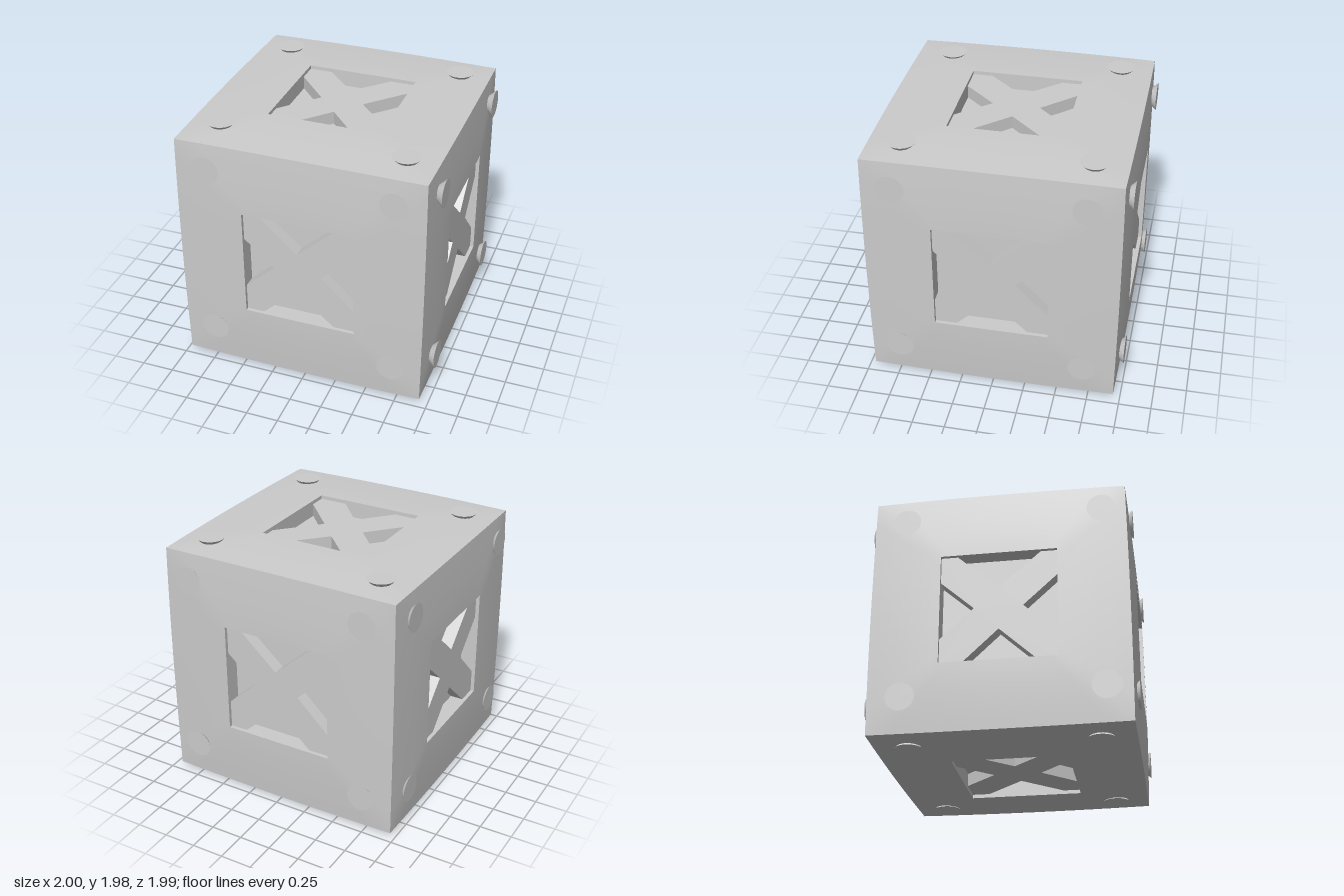
import * as THREE from 'three';

const MAT = new THREE.MeshStandardMaterial({ color: 0xcccccc });
const HOLE = 0.435, EDGE = 0.95, BULGE = 0.985, DEPTH = 0.13, INSET = 0.03;

function mesh(geo, name) {
  const m = new THREE.Mesh(geo, MAT);
  m.name = name;
  return m;
}

// Bulged square frame: square loops from the opening out to the cube edges
function frameGeometry() {
  const rings = 7, side = 12, n = side * 4, pos = [], idx = [];
  for (let j = 0; j <= rings; j++) {
    const t = j / rings;
    for (let i = 0; i < n; i++) {
      const w = (i % side) / side * 2 - 1;
      const bow = 0.007 * (1 - w * w) * t;
      const half = HOLE + (EDGE - HOLE) * t;
      const a = half + bow, b = half * w;
      const [x, y] = [[a, b], [-b, a], [-a, -b], [b, -a]][Math.floor(i / side)];
      pos.push(x, y, BULGE - (BULGE - EDGE) * Math.pow(t, 1.4) + bow);
      if (j < rings) {
        const p = j * n + i, q = j * n + (i + 1) % n;
        idx.push(p, p + n, q + n, p, q + n, q);
      }
    }
  }
  const g = new THREE.BufferGeometry();
  g.setAttribute('position', new THREE.Float32BufferAttribute(pos, 3));
  g.setIndex(idx);
  g.computeVertexNormals();
  return g;
}

function square(h, Type = THREE.Shape) {
  return new Type([[-h, -h], [h, -h], [h, h], [-h, h]].map(([x, y]) => new THREE.Vector2(x, y)));
}

// Walls of the square recess
function wallGeometry() {
  const s = square(HOLE + 0.005);
  s.holes.push(square(HOLE, THREE.Path));
  const g = new THREE.ExtrudeGeometry(s, { depth: DEPTH - 0.001, bevelEnabled: false });
  return g.translate(0, 0, BULGE - DEPTH);
}

// Cross brace; each notch is [start, end, apex along the side, apex distance]
function braceGeometry({ top, bottom, left, right }) {
  const h = HOLE, pts = [
    [-h, -h], [bottom[0], -h], [bottom[2], -bottom[3]], [bottom[1], -h],
    [h, -h], [h, right[0]], [right[3], right[2]], [h, right[1]],
    [h, h], [top[1], h], [top[2], top[3]], [top[0], h],
    [-h, h], [-h, left[1]], [-left[3], left[2]], [-h, left[0]],
  ];
  const s = new THREE.Shape(pts.map(([x, y]) => new THREE.Vector2(x, y)));
  const g = new THREE.ExtrudeGeometry(s, { depth: DEPTH - INSET, bevelEnabled: false });
  return g.translate(0, 0, BULGE - DEPTH);
}

const BRACE_FRONT = {
  top: [-0.33, 0.29, -0.02, 0.155], bottom: [-0.3, 0.26, -0.02, 0.18],
  left: [-0.22, 0.205, -0.005, 0.205], right: [-0.265, 0.245, -0.005, 0.165],
};
const BRACE_SIDE = {
  top: [-0.31, 0.31, 0, 0.155], bottom: [-0.27, 0.275, 0, 0.18],
  left: [-0.235, 0.225, 0, 0.185], right: [-0.255, 0.235, 0, 0.18],
};
const BRACE_TOP = {
  top: [-0.255, 0.235, -0.01, 0.18], bottom: [-0.235, 0.215, -0.01, 0.185],
  left: [-0.28, 0.28, 0, 0.18], right: [-0.3, 0.3, 0, 0.155],
};

// name, x turn, y turn, brace, stud tip height, stud positions
const Q = Math.PI / 2;
const FACES = [
  ['front', 0, 0, BRACE_FRONT, 0.99, [[-0.705, 0.755], [0.725, 0.755], [-0.705, -0.66], [0.725, -0.675]]],
  ['back', 0, 2 * Q, BRACE_FRONT, 1.003, [[-0.73, 0.755], [0.72, 0.755], [-0.73, -0.675], [0.72, -0.675]]],
  ['left', 0, Q, BRACE_SIDE, 1.015, [[-0.715, 0.765], [0.705, 0.765], [-0.715, -0.675], [0.705, -0.675]]],
  ['right', 0, -Q, BRACE_SIDE, 0.987, [[-0.705, 0.755], [0.77, 0.755], [-0.705, -0.68], [0.77, -0.68]]],
  ['top', -Q, 0, BRACE_TOP, 0.995, [[-0.71, 0.705], [0.72, 0.705], [-0.71, -0.665], [0.72, -0.695]]],
  ['bottom', Q, 0, BRACE_TOP, 0.981, [[-0.71, 0.7], [0.72, 0.7], [-0.71, -0.69], [0.72, -0.7]]],
];

export function createModel() {
  const model = new THREE.Group();
  model.name = 'bracedCrate';
  const frame = frameGeometry(), wall = wallGeometry();
  const floor = new THREE.PlaneGeometry(2 * HOLE, 2 * HOLE).translate(0, 0, BULGE - DEPTH);
  // Flared stud, wide at its outer end
  const stud = new THREE.CylinderGeometry(0.108, 0.035, 0.08, 32).translate(0, -0.04, 0).rotateX(Q);

  for (const [name, rx, ry, brace, tip, studs] of FACES) {
    const face = new THREE.Group();
    face.name = name + 'Face';
    face.add(
      mesh(frame, name + 'Frame'),
      mesh(wall, name + 'RecessWalls'),
      mesh(floor, name + 'RecessFloor'),
      mesh(braceGeometry(brace), name + 'CrossBrace'),
    );
    for (const [u, v] of studs) {
      const s = mesh(stud, name + 'Stud');
      s.position.set(u, v, tip);
      face.add(s);
    }
    face.rotation.set(rx, ry, 0);
    face.position.set(-0.015, 0.986, 0.003);
    model.add(face);
  }
  return model;
}
